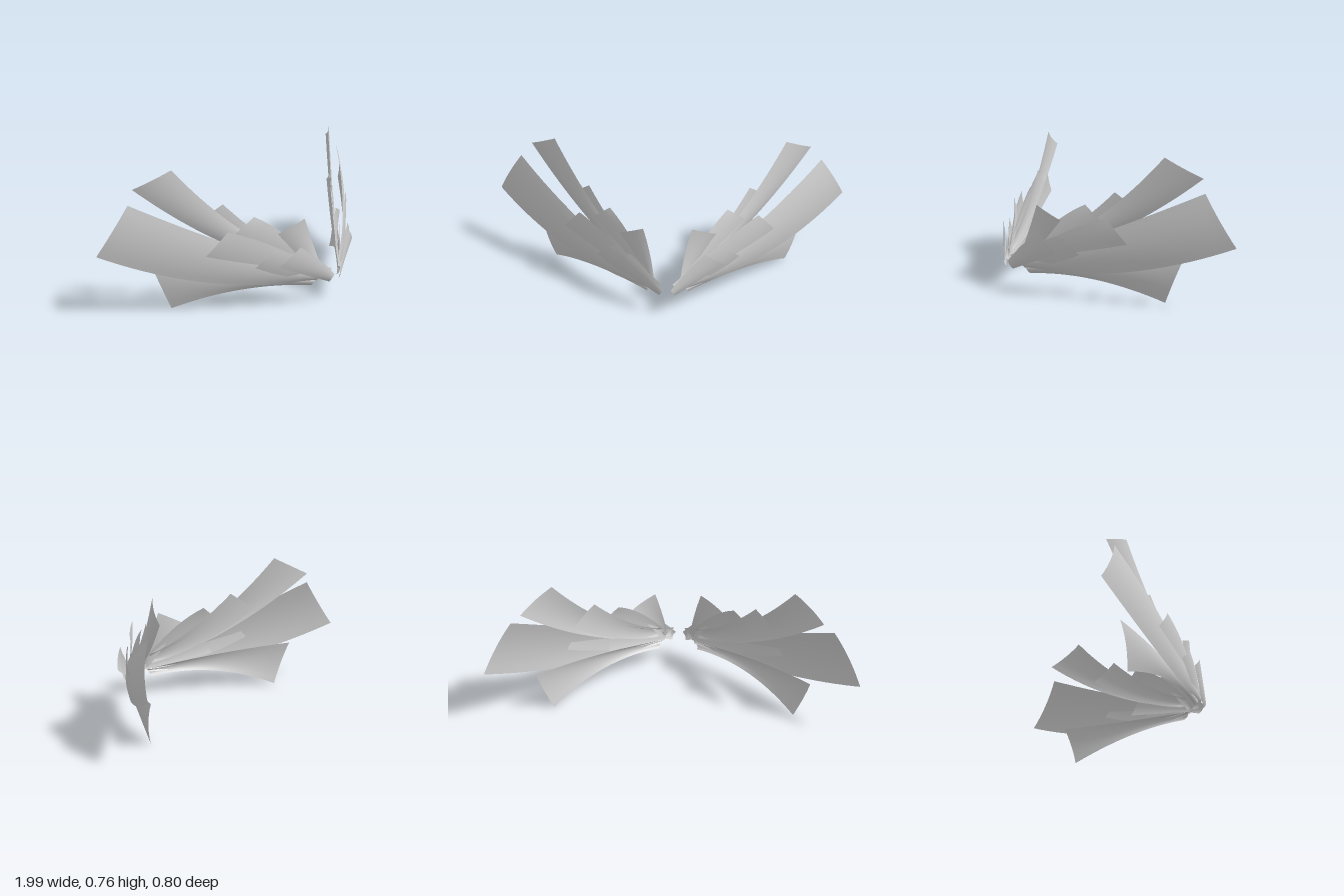
import * as THREE from 'three';

const grey = new THREE.MeshStandardMaterial({ color: 0xcccccc, side: THREE.DoubleSide });
grey.name = 'pale grey';

const OUTWARD = new THREE.Vector3(0.63, 0, 0.77);

// One edge of a feather: lifted or sagged in the middle, and bowed outwards
function edgeCurve(root, tip, rise, bow) {
  const control = root.clone().lerp(tip, 0.5).addScaledVector(OUTWARD, 2 * bow);
  control.y += 2 * rise;
  return new THREE.QuadraticBezierCurve3(root, control, tip);
}

// A feather is a sheet lofted between its two edges, cambered across its width.
// root: x and y of the quill; the quills all sit along one diagonal line.
// bends: rise of the upper edge, rise of the lower edge, outward bow.
function makeFeather(name, root, tipUpper, tipLower, bends = [0, 0, 0]) {
  const along = 20, across = 8, halfRoot = 0.022;
  const [x, y] = root, z = 0.42 - x;
  const upperTip = new THREE.Vector3(...tipUpper), lowerTip = new THREE.Vector3(...tipLower);
  const upper = edgeCurve(new THREE.Vector3(x, y + halfRoot, z), upperTip, bends[0], bends[2]);
  const lower = edgeCurve(new THREE.Vector3(x + 0.02, y - halfRoot, z - 0.02), lowerTip, bends[1], bends[2]);
  const camber = 0.05 * upperTip.distanceTo(lowerTip);

  const positions = [], index = [];
  for (let i = 0; i <= along; i++) {
    const a = upper.getPoint(i / along), b = lower.getPoint(i / along);
    for (let j = 0; j <= across; j++) {
      const t = j / across;
      const p = a.clone().lerp(b, t).addScaledVector(OUTWARD, camber * 4 * t * (1 - t));
      positions.push(p.x, p.y, p.z);
      if (i < along && j < across) {
        const k = i * (across + 1) + j, n = k + across + 1;
        index.push(k, k + 1, n, k + 1, n + 1, n);
      }
    }
  }
  const geometry = new THREE.BufferGeometry();
  geometry.setAttribute('position', new THREE.Float32BufferAttribute(positions, 3));
  geometry.setIndex(index);
  geometry.computeVertexNormals();
  const mesh = new THREE.Mesh(geometry, grey);
  mesh.name = name;
  return mesh;
}

export function createModel() {
  const model = new THREE.Group();
  model.name = 'wings';

  const leftWing = new THREE.Group();
  leftWing.name = 'leftWing';

  // Outer layer of overlapping coverts
  leftWing.add(
    makeFeather('outerShortFeather', [0.02, 0.145], [0.2, 0.345, 0.315], [0.31, 0.245, 0.255], [0.01, 0, 0]),
    makeFeather('outerMiddleFeather', [0.07, 0.17], [0.3, 0.34, 0.23], [0.39, 0.245, 0.165], [0.018, -0.018, 0.005]),
    makeFeather('outerLongFeather', [0.08, 0.17], [0.49, 0.445, 0.06], [0.6, 0.285, -0.035], [0.03, -0.035, 0.01]),
  );

  // Large flight feathers
  leftWing.add(
    makeFeather('mainFeather', [0.07, 0.155], [0.85, 0.6, -0.305], [0.995, 0.335, -0.4], [-0.01, -0.066, 0.035]),
    makeFeather('lowestFeather', [0.09, 0.127], [0.745, 0.245, -0.25], [0.665, 0.005, -0.195], [0.005, 0.05, 0.025]),
    makeFeather('highestFeather', [0.1, 0.215], [0.64, 0.765, -0.195], [0.79, 0.665, -0.335], [-0.08, -0.065, 0]),
  );

  // Raised feathers along the top
  leftWing.add(
    makeFeather('upperLongFeather', [0.1, 0.21], [0.44, 0.57, -0.02], [0.54, 0.477, -0.12], [-0.035, -0.04, 0]),
    makeFeather('upperMiddleFeather', [0.09, 0.205], [0.32, 0.495, 0.09], [0.43, 0.39, 0.02], [0.03, -0.035, 0]),
    makeFeather('upperShortFeather', [0.07, 0.18], [0.13, 0.48, 0.28], [0.26, 0.41, 0.205], [0, 0, -0.01]),
  );

  // Inner layer
  leftWing.add(
    makeFeather('innerShortFeather', [0.03, 0.178], [0.285, 0.33, 0.187], [0.325, 0.195, 0.145]),
    makeFeather('innerMiddleFeather', [0.06, 0.17], [0.36, 0.31, 0.11], [0.38, 0.217, 0.07]),
  );

  // Mirrored wing
  const rightWing = leftWing.clone();
  rightWing.name = 'rightWing';
  rightWing.scale.x = -1;

  model.add(leftWing, rightWing);
  return model;
}
